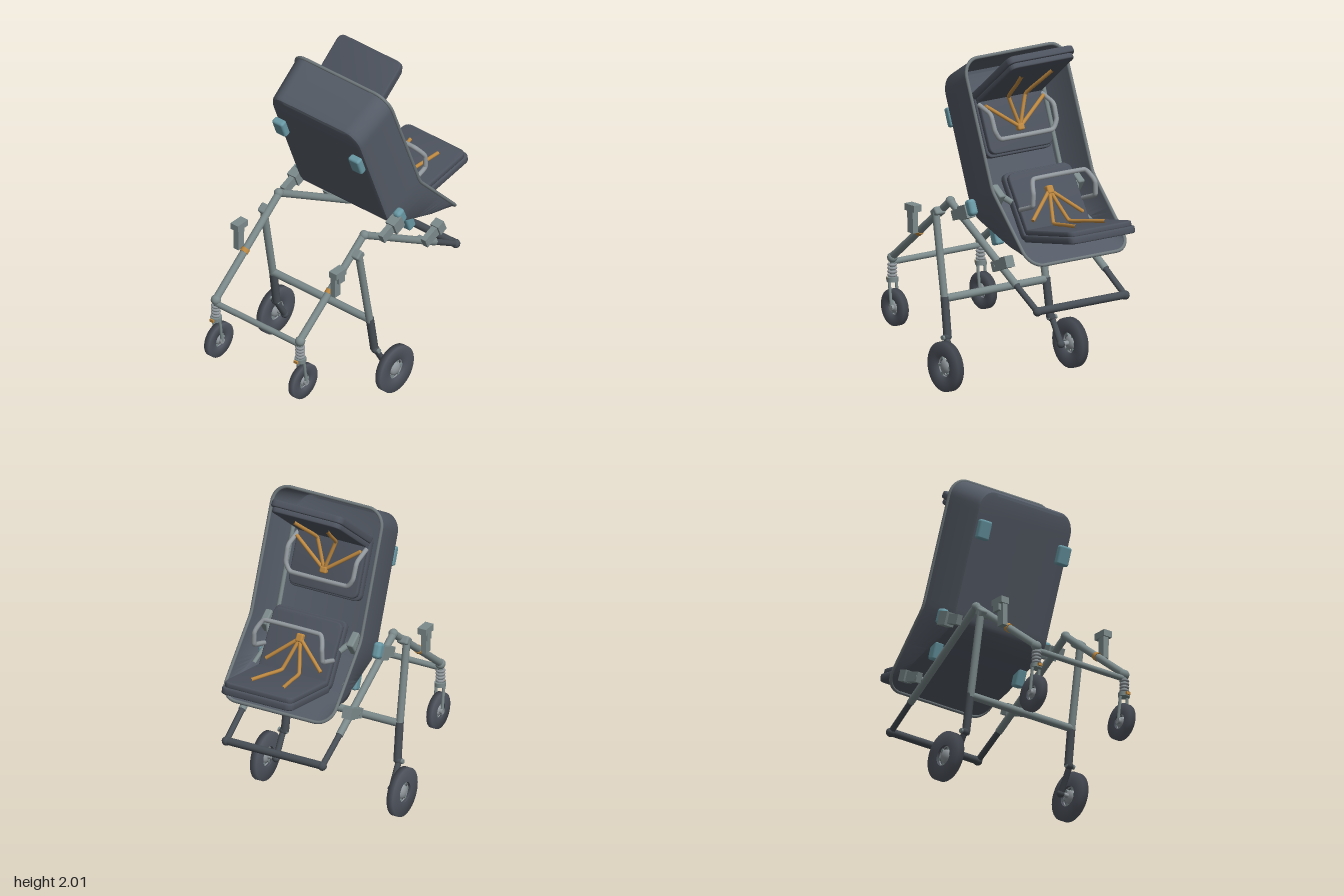
import * as THREE from 'three';
import { toCreasedNormals } from 'three/addons/utils/BufferGeometryUtils.js';
import { RoundedBoxGeometry } from 'three/addons/geometries/RoundedBoxGeometry.js';

const paint = (name, color, side = THREE.FrontSide) => {
  const m = new THREE.MeshStandardMaterial({ color, side });
  m.name = name;
  return m;
};
const V = (x, y, z) => new THREE.Vector3(x, y, z);

export function createModel() {
  const model = new THREE.Group();
  model.name = 'doubleStroller';
  const frame = paint('frameGrey', 0x7c8a8b);
  const dark = paint('darkGrip', 0x474e55);
  const shellMat = paint('shellSlate', 0x555c67, THREE.DoubleSide);
  const rimMat = paint('rimGrey', 0x6f787c);
  const cushion = paint('cushionSlate', 0x4d535e);
  const teal = paint('tealJoint', 0x6898a4);
  const orange = paint('orangeStrap', 0xbd8840);
  const tyre = paint('tyreSlate', 0x50555f);
  const metal = paint('lightMetal', 0x91989d);

  const add = (name, geo, mat, pos) => {
    const m = new THREE.Mesh(geo, mat);
    m.name = name;
    if (pos) m.position.copy(pos);
    model.add(m);
    return m;
  };
  const rod = (name, a, b, r, mat) => {
    const d = b.clone().sub(a);
    const m = add(name, new THREE.CylinderGeometry(r, r, d.length(), 16), mat, a.clone().lerp(b, 0.5));
    m.quaternion.setFromUnitVectors(V(0, 1, 0), d.normalize());
    return m;
  };
  const ball = (name, p, r, mat) => add(name, new THREE.SphereGeometry(r, 16, 12), mat, p);
  const box = (name, p, w, h, d, mat, tilt = 0, round = 0) => {
    const g = round ? new RoundedBoxGeometry(w, h, d, 3, round) : new THREE.BoxGeometry(w, h, d);
    const m = add(name, g, mat, p);
    m.rotation.z = tilt;
    return m;
  };
  const bend = (name, pts, r, mat, closed = false, steps = 60) =>
    add(name, new THREE.TubeGeometry(new THREE.CatmullRomCurve3(pts, closed, 'catmullrom', 0.15), steps, r, 10, closed), mat);

  // Tub: each row crosses from one rim, over the floor, to the other rim
  const along = (keys, t) => {
    let i = 1;
    while (i < keys.length - 1 && t > keys[i][0]) i++;
    const [a, b] = [keys[i - 1], keys[i]];
    const f = (t - a[0]) / (b[0] - a[0]);
    return V(a[1] + (b[1] - a[1]) * f, a[2] + (b[2] - a[2]) * f, 0);
  };
  const rimLine = [[0, -0.035, 1.95], [0.6, 0.245, 1.235], [1, 0.603, 0.857]];
  const baseLine = [[0, -0.283, 1.8], [0.6, -0.005, 1.075], [0.67, 0.06, 1.025], [0.83, 0.25, 0.962], [1, 0.45, 0.905]];
  const outline = [[0, 0], [0, 0.35], [0, 0.7]];
  const arc = 8, ct = 0.08, cz = 0.28;
  for (let i = 0; i <= arc; i++) {
    const a = (i / arc) * Math.PI / 2;
    outline.push([ct * (1 - Math.cos(a)), 1 - cz + cz * Math.sin(a)]);
  }
  for (let i = 1; i < 30; i++) outline.push([ct + (1 - 2 * ct) * i / 30, 1]);
  for (let i = arc; i >= 0; i--) {
    const a = (i / arc) * Math.PI / 2;
    outline.push([1 - ct * (1 - Math.cos(a)), 1 - cz + cz * Math.sin(a)]);
  }
  outline.push([1, 0.35], [1, 0]);
  const layers = [[0, 0.36, 1], [0.92, 0.337, 1], [0.98, 0.328, 0.99], [1, 0.308, 0.965]];
  const place = ([t, z], [depth, width, shrink], s) => {
    const u = 0.5 + (t - 0.5) * shrink;
    const p = along(rimLine, u).lerp(along(baseLine, u), depth);
    p.z = s * z * width;
    return p;
  };
  const pos = [], idx = [], cols = layers.length * 2;
  outline.forEach((o, i) => {
    layers.forEach(l => pos.push(...place(o, l, 1).toArray()));
    [...layers].reverse().forEach(l => pos.push(...place(o, l, -1).toArray()));
    if (!i) return;
    for (let j = 0; j < cols - 1; j++) {
      const a = (i - 1) * cols + j, b = a + cols;
      idx.push(a, b, a + 1, b, b + 1, a + 1);
    }
  });
  const tub = new THREE.BufferGeometry();
  tub.setAttribute('position', new THREE.Float32BufferAttribute(pos, 3));
  tub.setIndex(idx);
  add('tub', toCreasedNormals(tub, 0.7), shellMat);
  const rimPts = [
    ...outline.map(o => place(o, layers[0], 1)),
    ...outline.slice(1, -1).reverse().map(o => place(o, layers[0], -1)),
  ];
  bend('tubRim', rimPts, 0.01, rimMat, true, 180);

  // Seats: padded panels hinged at one line, cushions on the inner side
  const slab = (name, len, width, thick) => {
    const s = new THREE.Shape(), r = 0.045, h = width / 2;
    s.moveTo(r, -h).lineTo(len - r, -h).quadraticCurveTo(len, -h, len, -h + r);
    s.lineTo(len, h - r).quadraticCurveTo(len, h, len - r, h);
    s.lineTo(r, h).quadraticCurveTo(0, h, 0, h - r);
    s.lineTo(0, -h + r).quadraticCurveTo(0, -h, r, -h);
    const g = new THREE.ExtrudeGeometry(s, {
      depth: thick - 0.016, bevelEnabled: true, bevelThickness: 0.008, bevelSize: 0.008, bevelOffset: -0.008, bevelSegments: 3,
    });
    g.translate(0, 0, 0.008).rotateX(-Math.PI / 2);
    const m = new THREE.Mesh(toCreasedNormals(g, 0.6), cushion);
    m.name = name;
    return m;
  };
  const panel = (name, x, y, deg, len, side) => {
    const g = new THREE.Group();
    g.name = name;
    const tray = slab('panelTray', len, 0.47, 0.042);
    const pad = slab('panelPad', len - 0.02, 0.45, 0.034);
    pad.position.set(0.005, 0.038, 0);
    g.add(tray, pad);
    g.position.set(x, y, 0);
    g.rotation.set(side < 0 ? Math.PI : 0, 0, THREE.MathUtils.degToRad(deg), 'ZXY');
    model.add(g);
  };
  panel('lowerSeatPan', 0.36, 0.935, 10, 0.483, 1);
  panel('lowerSeatBack', 0.36, 0.935, 122, 0.41, -1);
  panel('upperSeatBack', -0.147, 1.694, 39.5, 0.495, -1);
  panel('upperSeatPan', -0.147, 1.715, -68, 0.395, 1);

  // Harness buckles
  box('lowerBuckle', V(0.31, 1.2, 0), 0.035, 0.05, 0.045, orange, 0.5, 0.01);
  box('upperBuckle', V(0.035, 1.515, 0), 0.035, 0.04, 0.045, orange, 0.4, 0.01);
  // Bumper bars
  const barLow = [[0.33, 1.12, 0.225], [0.43, 1.155, 0.225], [0.45, 1.17, 0.225], [0.45, 1.24, 0.222], [0.435, 1.265, 0.215], [0.4, 1.31, 0.18]];
  const barUp = [[-0.06, 1.66, 0.225], [0.04, 1.63, 0.225], [0.06, 1.61, 0.225], [0.085, 1.54, 0.222], [0.09, 1.52, 0.215], [0.095, 1.482, 0.18]];
  for (const [name, b] of [['lowerBumperBar', barLow], ['upperBumperBar', barUp]]) {
    const half = s => b.map(([x, y, z]) => V(x, y, z * s));
    bend(name, [...half(1), ...half(-1).reverse()], 0.014, metal, false, 100);
  }

  // Wheels with open hubs
  const wheel = (name, x, y, z, r, w) => {
    const g = new THREE.Group();
    g.name = name;
    const put = (n, geo, mat) => {
      const m = new THREE.Mesh(geo, mat);
      m.name = n;
      g.add(m);
      return m;
    };
    const ri = r * 0.42, h = w / 2;
    const prof = [[ri, -h], [r, -h], [r, h], [ri, h], [ri, -h]];
    put('tyre', new THREE.LatheGeometry(prof.map(p => new THREE.Vector2(...p)), 40).rotateX(Math.PI / 2), tyre);
    put('hub', new THREE.SphereGeometry(r * 0.29, 16, 12).scale(1, 1, w * 0.55 / (r * 0.29)), metal);
    put('hubRing', new THREE.TorusGeometry(r * 0.41, r * 0.03, 8, 32), metal);
    for (let i = 0; i < 6; i++) {
      const spoke = put('spoke', new THREE.BoxGeometry(r * 0.26, r * 0.1, w * 0.4).translate(r * 0.32, 0, 0), frame);
      spoke.rotation.z = i * Math.PI / 3;
    }
    g.position.set(x, y, z);
    model.add(g);
  };

  for (const s of [1, -1]) {
    const P = (x, y, z) => V(x, y, z * s);
    // Harness straps
    bend('lowerLapStrap', [P(0.31, 1.2, 0), P(0.42, 1.035, 0.055), P(0.55, 1.054, 0.078), P(0.7, 1.079, 0.105)], 0.011, orange);
    rod('lowerSideStrap', P(0.31, 1.2, 0), P(0.39, 1.06, 0.18), 0.011, orange);
    bend('upperShoulderStrap', [P(0.035, 1.515, 0), P(0.005, 1.695, 0.06), P(0.11, 1.79, 0.085), P(0.195, 1.866, 0.11)], 0.011, orange);
    rod('upperSideStrap', P(0.035, 1.515, 0), P(-0.02, 1.66, 0.21), 0.011, orange);

    // Seat rails and brackets inside the tub
    bend('seatRail', [P(-0.13, 1.68, 0.29), P(0.05, 1.18, 0.295), P(0.16, 1.04, 0.295), P(0.33, 0.97, 0.295)], 0.013, frame);
    box('seatBracket', P(0.18, 1.18, 0.285), 0.1, 0.1, 0.045, frame, -0.6, 0.01);
    rod('seatBracketArm', P(0.18, 1.2, 0.285), P(0.26, 1.15, 0.23), 0.018, frame);

    // Teal pads and pivots
    box('backPad', P(-0.222, 1.567, 0.287), 0.046, 0.115, 0.08, teal, 0.36, 0.014);
    box('underPad', P(0.205, 0.957, 0.3), 0.06, 0.11, 0.06, teal, 0.35, 0.014);
    box('pivotCap', P(0.058, 1.1, 0.37), 0.062, 0.095, 0.052, teal, 0.4, 0.02);

    // Upper frame tubes, sliding grip and links
    rod('pushTube', P(-0.2, 1.08, 0.325), P(0.42, 0.705, 0.32), 0.022, frame);
    rod('gripTube', P(0.42, 0.705, 0.32), P(0.61, 0.59, 0.315), 0.018, dark);
    ball('gripKnob', P(0.61, 0.59, 0.315), 0.027, dark);
    box('upperLink', P(-0.02, 1.055, 0.37), 0.18, 0.058, 0.035, frame, 0.38);
    box('upperLinkEnd', P(0.015, 1.068, 0.372), 0.075, 0.08, 0.064, frame, 0.38);
    box('lowerLink', P(0.345, 0.825, 0.37), 0.16, 0.06, 0.035, frame, 0.38);
    box('lowerLinkEnd', P(0.395, 0.848, 0.37), 0.055, 0.068, 0.06, frame, 0.38);
    rod('linkPin', P(0.29, 0.8, 0.31), P(0.29, 0.8, 0.39), 0.016, frame);

    // Caster tube, band, fold joints and holder
    rod('casterTube', P(-0.2, 1.08, 0.32), P(-0.755, 0.635, 0.318), 0.022, frame);
    rod('orangeBand', P(-0.49, 0.847, 0.319), P(-0.51, 0.831, 0.319), 0.026, orange);
    ball('foldJoint', P(-0.2, 1.08, 0.323), 0.028, frame);
    box('legClamp', P(-0.29, 1.0, 0.345), 0.06, 0.05, 0.07, frame, 0.67, 0.012);
    box('holderPost', P(-0.5, 0.908, 0.365), 0.05, 0.14, 0.035, frame);
    box('holderTop', P(-0.488, 0.99, 0.372), 0.09, 0.04, 0.055, frame);
    box('holderLip', P(-0.483, 0.955, 0.38), 0.05, 0.05, 0.04, frame);

    // Sprung caster
    ball('casterJoint', P(-0.755, 0.63, 0.318), 0.03, frame);
    rod('casterPost', P(-0.755, 0.63, 0.318), P(-0.752, 0.49, 0.318), 0.014, frame);
    for (let i = 0; i < 4; i++) {
      const coil = add('springCoil', new THREE.TorusGeometry(0.021, 0.008, 8, 20), metal, P(-0.755, 0.59 - i * 0.021, 0.318));
      coil.rotation.x = Math.PI / 2;
    }
    rod('springCup', P(-0.753, 0.515, 0.318), P(-0.752, 0.49, 0.318), 0.034, frame);
    box('casterTab', P(-0.783, 0.502, 0.318), 0.026, 0.016, 0.026, orange);
    for (const k of [-0.025, 0.025]) rod('forkProng', P(-0.75, 0.49, 0.318 + k), P(-0.73, 0.342, 0.318 + k), 0.009, frame);
    rod('casterAxle', P(-0.73, 0.342, 0.287), P(-0.73, 0.342, 0.35), 0.018, metal);
    wheel('casterWheel', -0.73, 0.342, 0.318 * s, 0.108, 0.036);

    // Main leg and wheel arm
    rod('legTube', P(-0.29, 1.0, 0.36), P(-0.2, 0.5, 0.365), 0.022, frame);
    rod('legLower', P(-0.2, 0.52, 0.365), P(-0.165, 0.29, 0.37), 0.024, dark);
    ball('legFoot', P(-0.165, 0.29, 0.377), 0.025, dark);
    rod('footPin', P(-0.165, 0.29, 0.35), P(-0.165, 0.29, 0.41), 0.014, frame);
    rod('wheelArm', P(-0.165, 0.29, 0.38), P(-0.08, 0.147, 0.38), 0.018, dark);
    ball('armEnd', P(-0.08, 0.147, 0.38), 0.023, dark);
    rod('mainAxle', P(-0.08, 0.147, 0.37), P(-0.08, 0.147, 0.465), 0.014, metal);
    wheel('mainWheel', -0.08, 0.146, 0.449 * s, 0.146, 0.04);
  }

  // Cross bars
  rod('casterCrossBar', V(-0.755, 0.605, -0.318), V(-0.755, 0.605, 0.318), 0.018, frame);
  rod('legCrossBar', V(-0.2, 0.51, -0.365), V(-0.2, 0.51, 0.365), 0.023, frame);
  rod('handleBar', V(0.61, 0.592, -0.315), V(0.61, 0.592, 0.315), 0.023, dark);
  return model;
}
